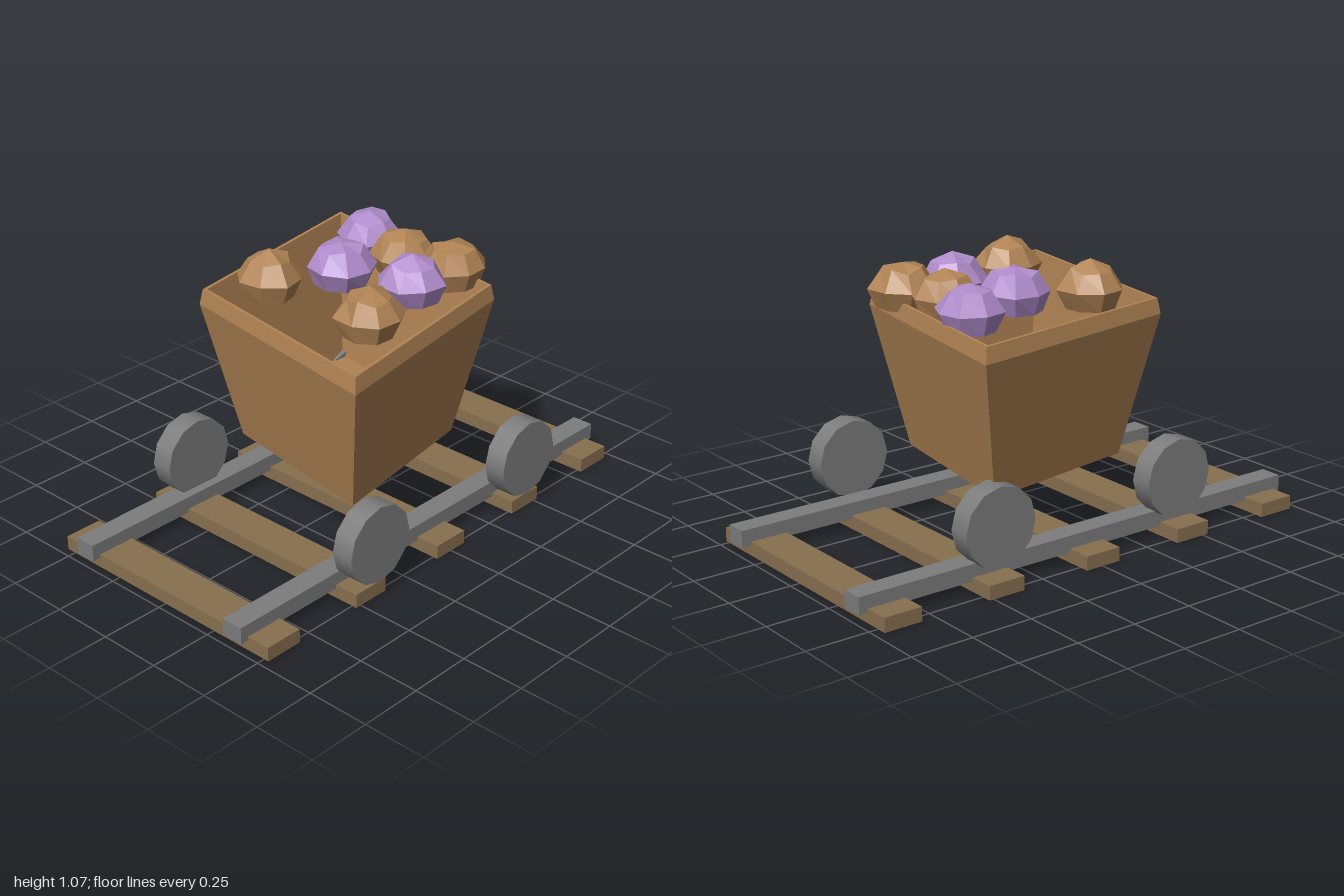
import * as THREE from 'three';

const material = (name, color) => {
  const m = new THREE.MeshStandardMaterial({ color });
  m.name = name;
  return m;
};

// Gives every face its own normal
function faceted(geometry) {
  const g = geometry.toNonIndexed();
  g.computeVertexNormals();
  return g;
}

const lathe = (profile, sides) =>
  new THREE.LatheGeometry(profile.map(([r, y]) => new THREE.Vector2(r, y)), sides);

export function createModel() {
  const model = new THREE.Group();
  model.name = 'mineCart';
  const ochre = material('ochre', 0xb08354);
  const violet = material('violet', 0xb08ccb);
  const wood = material('sleeperWood', 0x88704f);
  const metal = material('greyMetal', 0x7d7d7d);

  function add(name, geometry, mat, x, y, z) {
    const mesh = new THREE.Mesh(geometry, mat);
    mesh.name = name;
    mesh.position.set(x, y, z);
    model.add(mesh);
    return mesh;
  }

  // Track: five sleepers under two rails
  const sleeper = new THREE.BoxGeometry(0.155, 0.055, 1.06);
  for (let i = 0; i < 5; i++) add('sleeper', sleeper, wood, -0.89 + i * 0.4438, 0.0275, -0.01);
  const rail = new THREE.BoxGeometry(2, 0.066, 0.088);
  for (const z of [0.378, -0.398]) add('rail', rail, metal, 0, 0.073, z);

  // Four wheels
  const wheel = new THREE.CylinderGeometry(0.154, 0.154, 0.088, 12).rotateX(Math.PI / 2);
  for (const x of [-0.425, 0.42])
    for (const z of [0.502, -0.435]) add('wheel', wheel, metal, x, 0.231, z);

  // Hollow tapering tub with a skewed, diamond-shaped plan
  const tub = lathe([
    [0, 0.31], [0.73, 0.31], [1, 0.86], [0.975, 0.92],
    [0.945, 0.92], [0.75, 0.36], [0, 0.36],
  ], 4);
  tub.scale(0.755, 1, 0.547).rotateY(Math.PI / 4);
  add('tub', faceted(tub), ochre, 0, 0, -0.01);

  // Rough, pointed ore lumps; the waviness depends on the seed
  function oreLump(seed) {
    const g = lathe([[0, -0.075], [0.098, -0.075], [0.13, 0], [0.082, 0.07], [0, 0.1]], 8);
    const p = g.attributes.position;
    for (let i = 0; i < p.count; i++) {
      const x = p.getX(i), y = p.getY(i), z = p.getZ(i);
      const k = 1 + 0.06 * Math.sin(31 * x + 23 * z + seed * 2.3);
      const lift = y > 0.05 ? 0.01 * Math.sin(47 * x - 37 * z + seed) : 0;
      p.setXYZ(i, x * k, y + lift, z * k);
    }
    return faceted(g.rotateY(seed * 0.5));
  }
  const lumps = [
    [-0.185, -0.23, ochre], [-0.18, 0.265, ochre], [0.31, 0.0, ochre], [0.355, 0.2, ochre],
    [0.07, -0.105, violet], [0.36, -0.225, violet], [0.14, 0.185, violet],
  ];
  lumps.forEach(([x, z, mat], i) => add('oreLump', oreLump(i + 1), mat, x, 0.96, z));

  return model;
}
